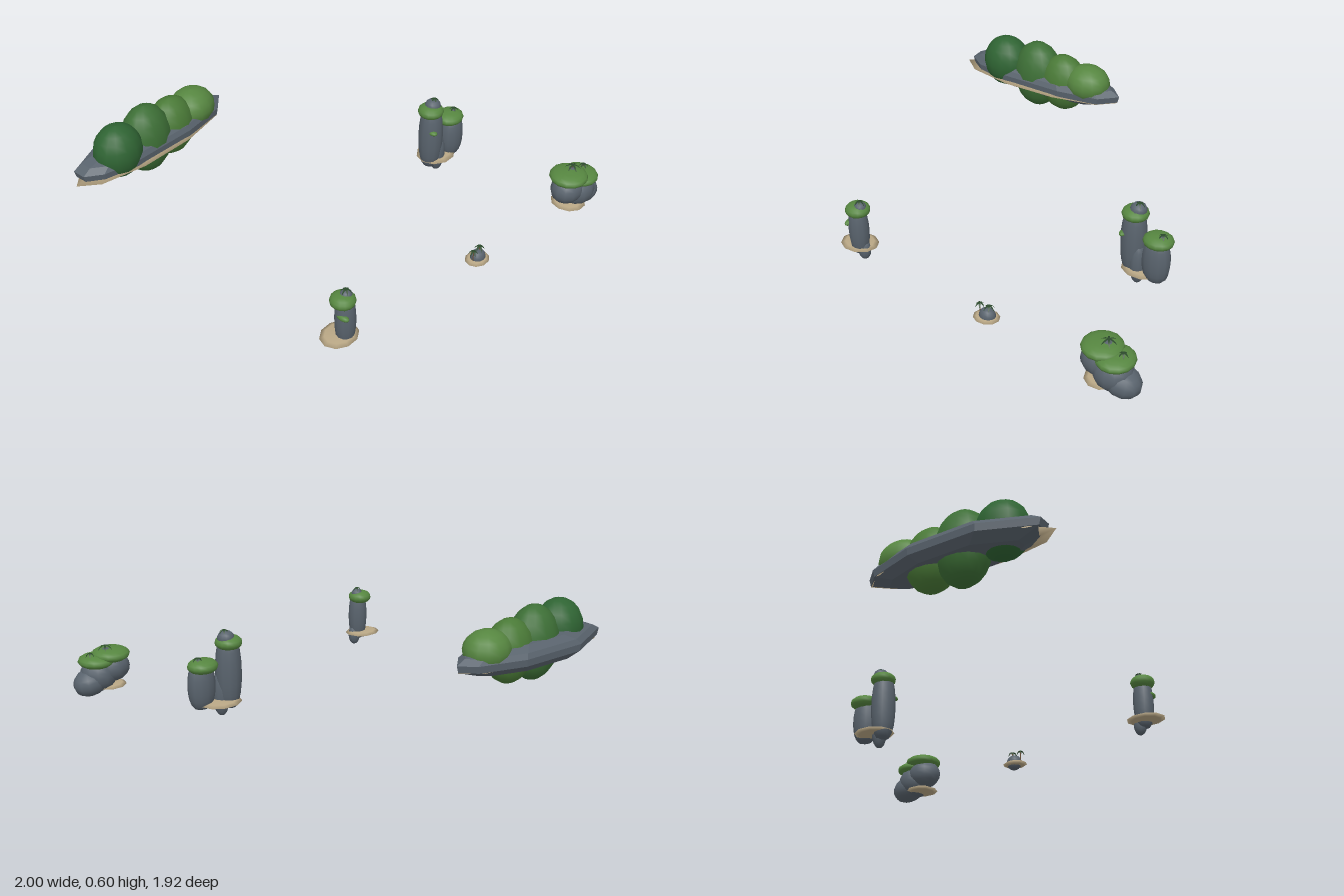
import * as THREE from 'three';

const mat = (color, side = THREE.FrontSide) => new THREE.MeshStandardMaterial({ color, side });
const ROCK = mat(0x59636d), SAND = mat(0xb9a785), TRUNK = mat(0x6b5138);
const DARK = mat(0x2f6433), MID = mat(0x3d6f36), OLIVE = mat(0x4a7a37), LIGHT = mat(0x568640);
const LEAF = mat(0x2c4a2c, THREE.DoubleSide);

function add(parent, name, geometry, material) {
  const mesh = new THREE.Mesh(geometry, material);
  mesh.name = name;
  parent.add(mesh);
  return mesh;
}

// Rounded form turned from a superellipse; a smaller power gives straighter sides
function blob(parent, name, material, pos, radii, power = 1, sides = 14, steps = 10) {
  const profile = [];
  for (let i = 0; i <= steps; i++) {
    const t = -Math.PI / 2 + (Math.PI * i) / steps;
    profile.push(new THREE.Vector2(Math.pow(Math.max(0, Math.cos(t)), power), Math.sin(t)));
  }
  const g = new THREE.LatheGeometry(profile, sides).rotateY(Math.PI / 2);
  g.scale(...radii);
  const mesh = add(parent, name, g, material);
  mesh.position.set(...pos);
  return mesh;
}

const beach = (p, pos, rx, rz, ry = 0.013) => blob(p, 'beach', SAND, pos, [rx, ry, rz], 0.8, 10, 4);
const column = (p, pos, radii) => blob(p, 'rockColumn', ROCK, pos, radii, 0.55, 12);
const boulder = (p, pos, radii) => blob(p, 'boulder', ROCK, pos, radii, 0.85, 12);
const canopy = (p, pos, rx, rz = rx, ry = 0.035) => blob(p, 'canopy', LIGHT, pos, [rx, ry, rz], 0.8, 14, 8);

// Palm: thin trunk with drooping folded leaves
function palm(parent, pos, height = 0.035, spread = 0.027) {
  const tree = new THREE.Group();
  tree.name = 'palm';
  tree.position.set(...pos);
  add(tree, 'trunk', new THREE.CylinderGeometry(0.002, 0.0035, height, 6).translate(0, height / 2, 0), TRUNK);
  for (let i = 0; i < 6; i++) {
    const g = new THREE.PlaneGeometry(1, 1, 4, 1);
    const a = g.attributes.position;
    for (let k = 0; k < a.count; k++) {
      const t = a.getX(k) + 0.5;
      const w = 0.001 + 0.009 * Math.sin(Math.PI * Math.min(1, t * 0.9 + 0.1));
      a.setXYZ(k, t * spread, height + 0.012 * t - 0.03 * t * t, a.getY(k) * w);
    }
    g.computeVertexNormals();
    add(tree, 'leaf', g, LEAF).rotation.y = (i * Math.PI) / 3;
  }
  parent.add(tree);
}

// Closed solid lofted through scaled copies of one ground outline
function loft(outline, centre, levels) {
  const n = outline.length, v = [], idx = [];
  for (const [y, s] of levels)
    for (const [x, z] of outline) v.push(centre[0] + (x - centre[0]) * s, y, centre[1] + (z - centre[1]) * s);
  for (let l = 0; l < levels.length - 1; l++)
    for (let i = 0; i < n; i++) {
      const a = l * n + i, b = l * n + ((i + 1) % n);
      idx.push(a, a + n, b, b, a + n, b + n);
    }
  const top = (levels.length - 1) * n;
  for (let i = 1; i < n - 1; i++) {
    idx.push(0, i, i + 1);
    idx.push(top, top + i + 1, top + i);
  }
  const g = new THREE.BufferGeometry();
  g.setAttribute('position', new THREE.Float32BufferAttribute(v, 3));
  g.setIndex(idx);
  const flat = g.toNonIndexed();
  flat.computeVertexNormals();
  return flat;
}

export function createModel() {
  const model = new THREE.Group();
  model.name = 'archipelago';
  const island = (name) => {
    const g = new THREE.Group();
    g.name = name;
    model.add(g);
    return g;
  };

  // Long forested island at the back
  const main = island('mainIsland');
  beach(main, [-0.52, 0.372, -0.8], 0.48, 0.135, 0.018);
  const ridge = [[-0.96, -0.79], [-0.88, -0.73], [-0.7, -0.69], [-0.35, -0.685], [-0.12, -0.72],
    [-0.03, -0.8], [-0.1, -0.87], [-0.34, -0.95], [-0.7, -0.965], [-0.96, -0.86]];
  // The outline runs front first, so reverse it for outward faces
  add(main, 'rockRidge', loft(ridge.reverse(), [-0.5, -0.82],
    [[0.338, 0.75], [0.375, 0.98], [0.41, 1], [0.435, 0.9], [0.46, 0.65]]), ROCK);
  blob(main, 'forest', DARK, [-0.735, 0.45, -0.79], [0.13, 0.142, 0.115]);
  blob(main, 'forest', MID, [-0.54, 0.415, -0.803], [0.14, 0.188, 0.115]);
  blob(main, 'forest', OLIVE, [-0.375, 0.408, -0.8], [0.135, 0.16, 0.105]);
  blob(main, 'forest', LIGHT, [-0.225, 0.445, -0.8], [0.125, 0.1, 0.11]);

  // Single pillar on the model's right
  const pillar = island('pillarIsland');
  beach(pillar, [-0.71, 0.068, 0.612], 0.1, 0.085);
  column(pillar, [-0.692, 0.165, 0.632], [0.052, 0.135, 0.05]);
  boulder(pillar, [-0.668, 0.055, 0.632], [0.034, 0.055, 0.03]);
  canopy(pillar, [-0.698, 0.275, 0.622], 0.062);
  boulder(pillar, [-0.68, 0.29, 0.625], [0.032, 0.033, 0.032]);
  blob(pillar, 'bush', LIGHT, [-0.73, 0.208, 0.65], [0.018, 0.015, 0.035]);
  palm(pillar, [-0.68, 0.315, 0.625], 0.014);

  // Two tall pillars on the model's left
  const twin = island('twinPillarIsland');
  beach(twin, [0.622, 0.125, 0.137], 0.11, 0.097);
  column(twin, [0.568, 0.265, 0.138], [0.065, 0.185, 0.063]);
  boulder(twin, [0.602, 0.16, 0.155], [0.042, 0.115, 0.045]);
  column(twin, [0.705, 0.22, 0.17], [0.072, 0.12, 0.056]);
  canopy(twin, [0.568, 0.417, 0.132], 0.067);
  canopy(twin, [0.705, 0.322, 0.155], 0.077, 0.07);
  boulder(twin, [0.583, 0.44, 0.132], [0.042, 0.038, 0.042]);
  boulder(twin, [0.725, 0.33, 0.16], [0.03, 0.027, 0.03]);
  blob(twin, 'bush', LIGHT, [0.53, 0.318, 0.18], [0.018, 0.012, 0.025]);
  palm(twin, [0.59, 0.468, 0.135], 0.014);
  palm(twin, [0.73, 0.345, 0.16], 0.02);

  // Low stepped island at the front
  const stepped = island('steppedIsland');
  beach(stepped, [0.805, 0.057, 0.85], 0.085, 0.09);
  boulder(stepped, [0.79, 0.15, 0.845], [0.095, 0.075, 0.08]);
  boulder(stepped, [0.86, 0.12, 0.86], [0.095, 0.085, 0.088]);
  boulder(stepped, [0.905, 0.09, 0.862], [0.095, 0.068, 0.078]).rotation.z = -0.3;
  canopy(stepped, [0.795, 0.22, 0.842], 0.098);
  canopy(stepped, [0.87, 0.195, 0.86], 0.092, 0.096, 0.034);
  boulder(stepped, [0.82, 0.232, 0.842], [0.035, 0.024, 0.035]);
  palm(stepped, [0.825, 0.245, 0.842], 0.025, 0.04);
  palm(stepped, [0.905, 0.22, 0.858], 0.02, 0.025);

  // Tiny sandy islet
  const islet = island('sandIslet');
  beach(islet, [0.14, 0.052, 0.762], 0.067, 0.057);
  boulder(islet, [0.145, 0.062, 0.762], [0.042, 0.04, 0.036]);
  palm(islet, [0.105, 0.06, 0.762], 0.06, 0.024);
  palm(islet, [0.155, 0.085, 0.762], 0.036, 0.027);

  return model;
}
